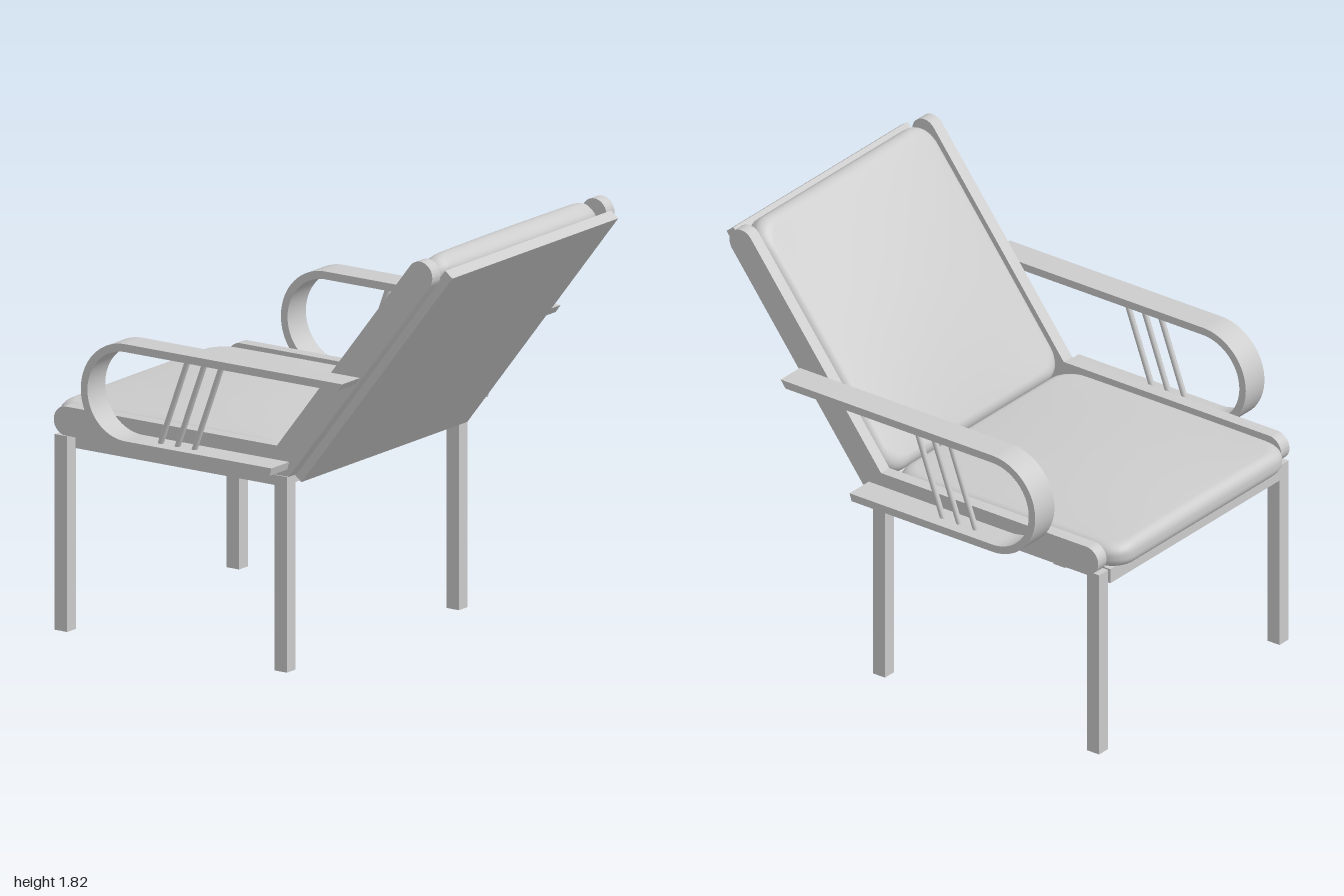
import * as THREE from 'three';
import { toCreasedNormals } from 'three/addons/utils/BufferGeometryUtils.js';

const material = new THREE.MeshStandardMaterial({ color: 0xcccccc });

function add(parent, name, geometry, x = 0, y = 0, z = 0) {
  const mesh = new THREE.Mesh(geometry, material);
  mesh.name = name;
  mesh.position.set(x, y, z);
  parent.add(mesh);
  return mesh;
}

// Extrudes a side outline drawn in (z, y) between x0 and x1
function sideExtrude(shape, x0, x1) {
  const g = new THREE.ExtrudeGeometry(shape, { depth: x1 - x0, bevelEnabled: false, curveSegments: 24 });
  g.rotateY(-Math.PI / 2);
  g.translate(x1, 0, 0);
  return toCreasedNormals(g, 0.5);
}

// Padded cushion: rounded rectangle rings stacked from underside to domed top
function cushionGeometry(width, length, height, corner, edge, bulge) {
  const a = width / 2, b = length / 2, r = corner;
  const outline = new THREE.Shape();
  outline.absarc(a - r, b - r, r, 0, Math.PI / 2);
  outline.absarc(-a + r, b - r, r, Math.PI / 2, Math.PI);
  outline.absarc(-a + r, -b + r, r, Math.PI, Math.PI * 1.5);
  outline.absarc(a - r, -b + r, r, Math.PI * 1.5, Math.PI * 2);
  outline.closePath();
  const n = 160;
  const points = outline.getSpacedPoints(n).slice(0, n);

  const rings = [[0, edge, 0], [0.6, edge, 0]]; // [scale, inset, y]
  for (let i = 0; i <= 6; i++) {
    const t = (i / 6) * Math.PI / 2;
    rings.push([1, edge * (1 - Math.sin(t)), edge * (1 - Math.cos(t))]);
  }
  for (let i = 0; i <= 6; i++) {
    const t = (i / 6) * Math.PI / 2;
    rings.push([1, edge * (1 - Math.cos(t)), height - edge * (1 - Math.sin(t))]);
  }
  for (let i = 9; i >= 0; i--) rings.push([i / 10, edge, height]);

  const position = [], index = [];
  rings.forEach(([scale, inset, y], i) => {
    points.forEach((p, j) => {
      const x = p.x * scale * (1 - inset / a);
      const z = p.y * scale * (1 - inset / b);
      const dome = y > height / 2 ? bulge * (1 - (x / a) ** 2) * (1 - (z / b) ** 2) : 0;
      position.push(x, y + dome, z);
      if (i < rings.length - 1) {
        const k = (j + 1) % n, lo = i * n, hi = lo + n;
        index.push(lo + j, hi + j, lo + k, hi + j, hi + k, lo + k);
      }
    });
  });
  const g = new THREE.BufferGeometry();
  g.setAttribute('position', new THREE.Float32BufferAttribute(position, 3));
  g.setIndex(index);
  g.computeVertexNormals();
  return g;
}

// Angled side rail with rounded ends, running along the seat and up the back
function railShape(tilt) {
  const r = 0.061, u = [Math.sin(tilt), Math.cos(tilt)], nrm = [-u[1], u[0]];
  const foot = [0.226, 0.82], front = -0.882;
  const at = (along, across) => [0, 1].map(k => foot[k] + u[k] * along + nrm[k] * across);
  const bend = 2 * r * (1 - nrm[1]) / u[1];
  const cap = at(1.145, r), angle = Math.atan2(nrm[1], nrm[0]);
  const s = new THREE.Shape();
  s.moveTo(...foot);
  s.lineTo(front, foot[1]);
  s.absarc(front, foot[1] + r, r, -Math.PI / 2, Math.PI / 2, true);
  s.lineTo(...at(bend, 2 * r));
  s.absarc(cap[0], cap[1], r, angle, angle - Math.PI, true);
  return s;
}

// Flat band bent into a half circle at the open end of the seat
function armShape() {
  const cz = -0.5, cy = 1.07, R = 0.22, t = 0.033;
  const s = new THREE.Shape();
  s.moveTo(0.58, cy + R);
  s.lineTo(cz, cy + R);
  s.absarc(cz, cy, R, Math.PI / 2, Math.PI * 1.5);
  s.lineTo(0.218, cy - R);
  s.lineTo(0.228, cy - R + t);
  s.lineTo(cz, cy - R + t);
  s.absarc(cz, cy, R - t, Math.PI * 1.5, Math.PI / 2, true);
  s.lineTo(0.555, cy + R - t);
  return s;
}

export function createModel() {
  const group = new THREE.Group();
  const tilt = 0.6585;

  // Legs
  for (const x of [-0.614, 0.584]) {
    for (const z of [0.19, -0.903]) {
      add(group, z > 0 ? 'rearLeg' : 'frontLeg', new THREE.BoxGeometry(0.06, 0.82, 0.062), x, 0.41, z);
    }
  }

  // Seat base and cushion
  add(group, 'seatBase', new THREE.BoxGeometry(1.132, 0.064, 1.1), -0.019, 0.79, -0.39);
  add(group, 'seatCushion', cushionGeometry(1.156, 1.16, 0.108, 0.1, 0.045, 0.03), -0.003, 0.825, -0.42);

  // Reclined back panel and cushion
  const back = new THREE.Group();
  back.name = 'backrest';
  back.position.set(0, 0.82, 0.218);
  back.rotation.x = tilt;
  group.add(back);
  add(back, 'backPanel', new THREE.BoxGeometry(1.156, 1.226, 0.045), -0.003, 0.607, 0.02);
  const pad = cushionGeometry(1.156, 1.17, 0.115, 0.1, 0.045, 0.048);
  pad.rotateX(-Math.PI / 2);
  add(back, 'backCushion', pad, -0.003, 0.616, -0.002);

  // Side rails and looped armrests
  const sides = [
    { rail: [0.576, 0.632], arm: [0.632, 0.76] },
    { rail: [-0.638, -0.582], arm: [-0.762, -0.638] },
  ];
  for (const { rail, arm } of sides) {
    add(group, 'sideRail', sideExtrude(railShape(tilt), ...rail));
    const armrest = new THREE.Group();
    armrest.name = 'armrest';
    group.add(armrest);
    add(armrest, 'armBand', sideExtrude(armShape(), ...arm));
    // Three slanted spindles inside the loop
    for (let i = 0; i < 3; i++) {
      const top = -0.058 - i * 0.084, bottom = top - 0.142;
      const height = 0.385, run = top - bottom;
      const spindle = add(armrest, 'spindle',
        new THREE.CylinderGeometry(0.012, 0.012, Math.hypot(height, run), 16),
        (arm[0] + arm[1]) / 2, 1.072, (top + bottom) / 2);
      spindle.rotation.x = Math.atan2(run, height);
    }
  }
  return group;
}
